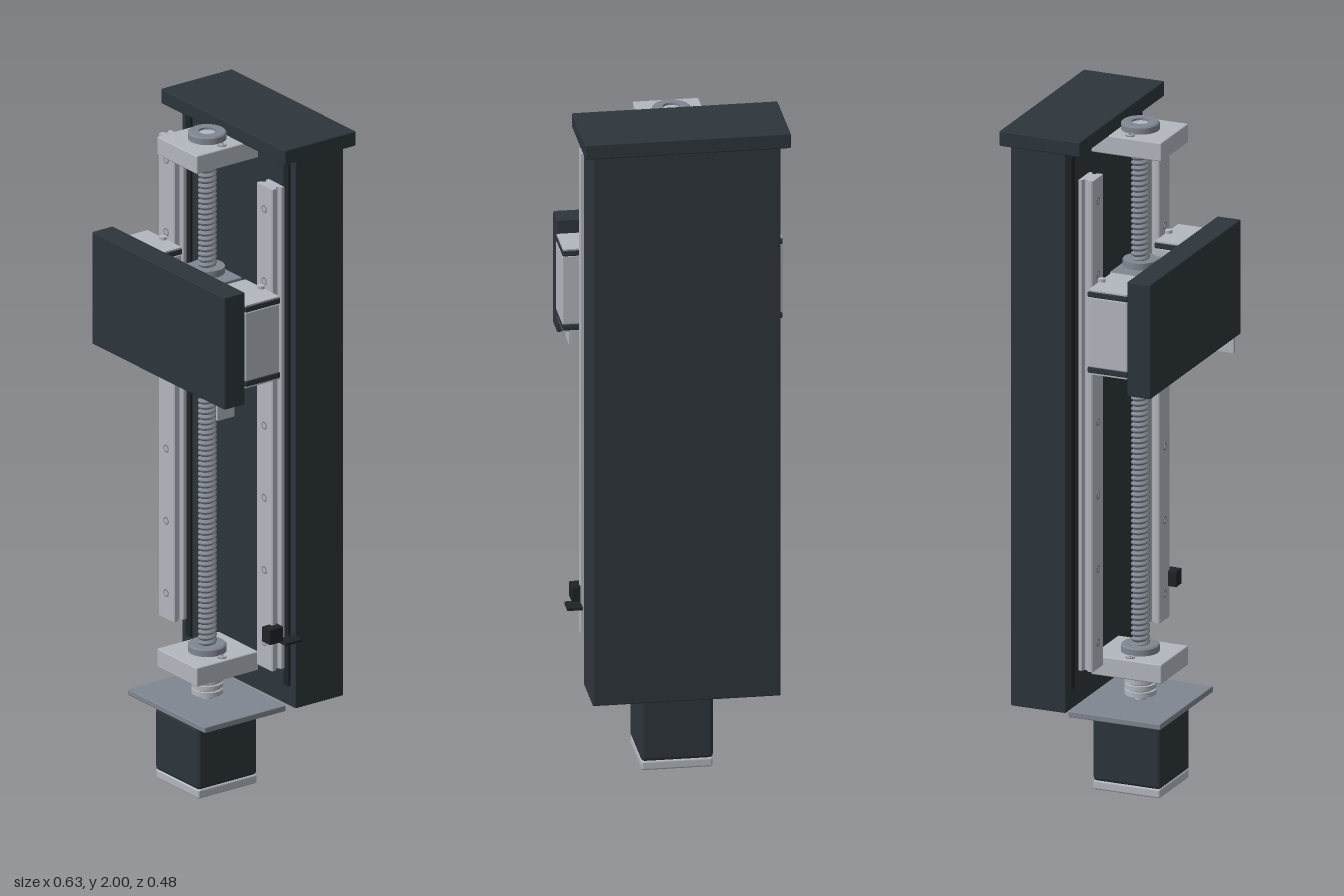
import * as THREE from 'three';
import { RoundedBoxGeometry } from 'three/addons/geometries/RoundedBoxGeometry.js';

const mat = (name, color) => {
  const m = new THREE.MeshStandardMaterial({ color });
  m.name = name;
  return m;
};

export function createModel() {
  const model = new THREE.Group();
  model.name = 'linearActuator';
  const dark = mat('dark anodised', 0x2d353b);
  const light = mat('light steel', 0xb2b7be);
  const grey = mat('mid grey steel', 0x808690);
  const black = mat('black hardware', 0x1e2327);

  const add = (name, geometry, material, x = 0, y = 0, z = 0, parent = model) => {
    const mesh = new THREE.Mesh(geometry, material);
    mesh.name = name;
    mesh.position.set(x, y, z);
    parent.add(mesh);
    return mesh;
  };
  // Box given by its limits, with an optional edge radius
  const box = (name, material, [x0, x1], [y0, y1], [z0, z1], r = 0, parent = model) => {
    const size = [x1 - x0, y1 - y0, z1 - z0];
    const g = r ? new RoundedBoxGeometry(...size, 2, r) : new THREE.BoxGeometry(...size);
    return add(name, g, material, (x0 + x1) / 2, (y0 + y1) / 2, (z0 + z1) / 2, parent);
  };
  // Upright cylinder between two heights
  const rod = (name, material, r, y0, y1, x, z, parent = model) =>
    add(name, new THREE.CylinderGeometry(r, r, y1 - y0, 32), material, x, (y0 + y1) / 2, z, parent);
  // Upright turned part
  const turned = (name, material, pts, x, z) =>
    add(name, new THREE.LatheGeometry(pts.map(p => new THREE.Vector2(...p)), 32), material, x, 0, z);

  const axisZ = 0.066; // screw and motor axis

  // Column and cap
  box('column', dark, [-0.27, 0.268], [0.278, 1.956], [-0.215, -0.045], 0.004);
  box('topCap', dark, [-0.295, 0.293], [1.955, 2], [-0.24, 0.01], 0.004);

  // Rails with a narrow waist, seat strips and bolt holes
  const half = [[0.037, -0.005], [0.037, 0.004], [0.026, 0.01], [0.026, 0.015], [0.037, 0.024], [0.037, 0.035], [0.034, 0.038]];
  const outline = [...half, ...half.slice().reverse().map(([x, z]) => [-x, z])];
  const railShape = new THREE.Shape(outline.map(([x, z]) => new THREE.Vector2(x, -z)));
  const railGeo = new THREE.ExtrudeGeometry(railShape, { depth: 1.467, bevelEnabled: false });
  railGeo.rotateX(-Math.PI / 2);
  const holeGeo = new THREE.CylinderGeometry(0.012, 0.012, 0.002, 20).rotateX(Math.PI / 2);
  const boltGeo = new THREE.CylinderGeometry(0.008, 0.008, 0.002, 6).rotateX(Math.PI / 2);
  for (const s of [-1, 1]) {
    const rail = new THREE.Group();
    rail.name = s > 0 ? 'leftRail' : 'rightRail';
    rail.position.x = s * 0.232;
    model.add(rail);
    add('railBar', railGeo, light, 0, 0.412, 0, rail);
    box('railSeat', black, [-0.012, 0.012], [0.34, 1.93], [-0.046, -0.038], 0, rail);
    for (let i = 0; i < 7; i++) {
      const y = 0.49 + i * 0.22;
      add('boltHole', holeGeo, grey, 0, y, 0.038, rail);
      add('boltHead', boltGeo, light, 0, y, 0.0385, rail);
    }

    // Carriage block with dark end seals and grease nipples
    const block = new THREE.Group();
    block.name = 'carriageBlock';
    block.position.x = s * 0.232;
    model.add(block);
    box('blockBody', light, [-0.083, 0.083], [1.34, 1.55], [0.045, 0.166], 0.004, block);
    for (const e of [-1, 1]) {
      const span = (a, b) => [1.445 + e * a, 1.445 + e * b].sort((p, q) => p - q);
      box('endSeal', dark, [-0.083, 0.083], span(0.104, 0.122), [0.042, 0.165], 0.004, block);
      box('endPlate', light, [-0.081, 0.081], span(0.12, 0.126), [0.044, 0.163], 0, block);
      rod('greaseNipple', light, 0.011, ...span(0.125, 0.135), 0, 0.05, block);
    }
  }

  // Moving table, nut housing and sensor flag
  box('table', dark, [-0.315, 0.312], [1.27, 1.612], [0.165, 0.238], 0.004);
  box('nutHousing', grey, [-0.09, 0.09], [1.34, 1.55], [0.01, 0.166], 0.004);
  rod('nutFlange', grey, 0.05, 1.32, 1.57, 0, axisZ);
  box('sensorFlag', light, [0.268, 0.276], [1.225, 1.28], [0.175, 0.235]);

  // Threaded screw
  const pitch = 0.016;
  const thread = [[0, 0.4]];
  for (let i = 0; i < 96; i++) {
    const y = 0.4 + i * pitch;
    thread.push([0.02, y], [0.027, y + pitch * 0.35], [0.027, y + pitch * 0.6], [0.02, y + pitch * 0.95]);
  }
  thread.push([0, 1.94]);
  const screwGeo = new THREE.LatheGeometry(thread.map(p => new THREE.Vector2(...p)), 20);
  // Lift each ring round the axis so that the ridges run as one helix
  const pos = screwGeo.attributes.position;
  for (let i = 0; i < pos.count; i++) {
    const turn = Math.floor(i / thread.length) / 20;
    pos.setY(i, pos.getY(i) + turn * pitch);
  }
  screwGeo.computeVertexNormals();
  add('leadScrew', screwGeo, grey, 0, 0, axisZ);
  rod('upperJournal', light, 0.0245, 1.9, 1.974, 0, axisZ);
  rod('lowerJournal', light, 0.016, 0.24, 0.42, 0, axisZ);

  // Bearing blocks with boss ring and bolts
  for (const [name, y0, y1] of [['upperBearing', 1.902, 1.958], ['lowerBearing', 0.34, 0.398]]) {
    box(name, light, [-0.095, 0.094], [y0, y1], [-0.045, 0.173], 0.004);
    const top = y1 + 0.022;
    turned(name + 'Boss', grey, [[0.055, y1 - 0.002], [0.055, top - 0.004], [0.055, top - 0.004], [0.051, top],
      [0.051, top], [0.025, top], [0.025, top], [0.025, y1 - 0.002]], 0, axisZ);
    for (const s of [-1, 1]) {
      rod('boltSeat', grey, 0.013, y1, y1 + 0.002, s * 0.07, axisZ);
      rod('boltHead', light, 0.010, y1, y1 + 0.004, s * 0.07, axisZ);
      rod('boltSocket', grey, 0.005, y1, y1 + 0.005, s * 0.07, axisZ);
    }
  }

  // Grooved coupling
  rod('couplingCore', grey, 0.036, 0.272, 0.34, 0, axisZ);
  for (const [y0, y1] of [[0.27, 0.284], [0.289, 0.303], [0.308, 0.334]]) {
    rod('couplingRing', light, 0.045, y0, y1, 0, axisZ);
  }

  // Motor with mounting plate
  box('motorPlate', grey, [-0.185, 0.182], [0.236, 0.254], [-0.075, 0.21], 0.003);
  box('motorFlange', light, [-0.102, 0.102], [0.214, 0.237], [-0.035, 0.172], 0.006);
  box('motorBody', dark, [-0.105, 0.102], [0.026, 0.217], [-0.036, 0.174], 0.012);
  box('motorEndCap', light, [-0.103, 0.101], [0, 0.028], [-0.035, 0.172], 0.006);

  // Limit switch with its lug
  box('limitSwitch', black, [0.255, 0.293], [0.505, 0.552], [0.015, 0.064], 0.003);
  box('switchLug', black, [0.268, 0.313], [0.5, 0.507], [-0.035, 0.022]);
  return model;
}
